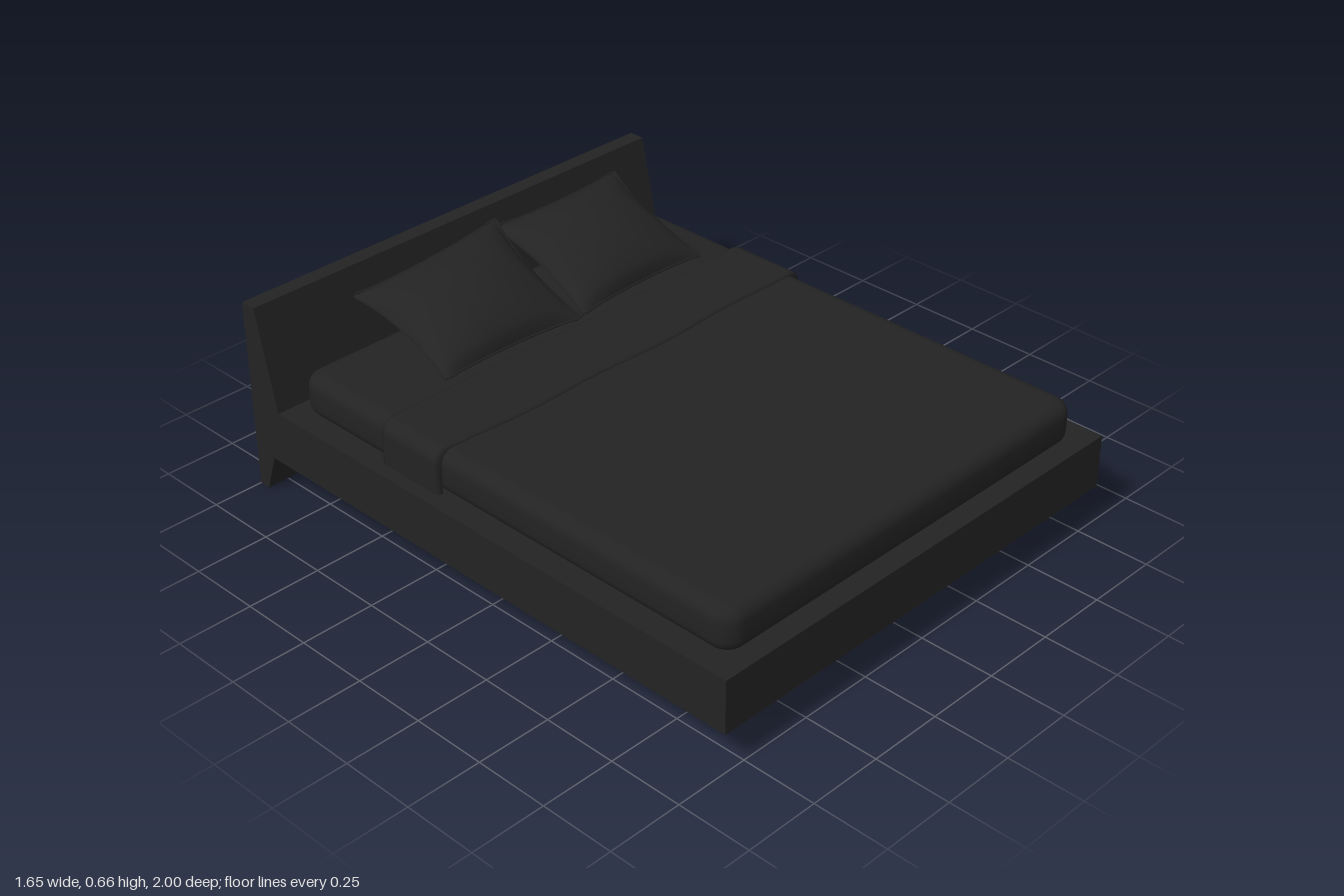
import * as THREE from 'three';
import { toCreasedNormals } from 'three/addons/utils/BufferGeometryUtils.js';

const charcoal = new THREE.MeshStandardMaterial({ color: 0x232323 });
charcoal.name = 'charcoal';
const charcoalCloth = new THREE.MeshStandardMaterial({ color: 0x232323, side: THREE.DoubleSide });
charcoalCloth.name = 'charcoal cloth';
const brown = new THREE.MeshStandardMaterial({ color: 0x583c21 });
brown.name = 'brown';

function add(parent, name, geometry, material) {
  const mesh = new THREE.Mesh(geometry, material);
  mesh.name = name;
  parent.add(mesh);
  return mesh;
}

// Rectangle with rounded corners, in plan
function roundedRect(w, d, r) {
  const s = new THREE.Shape(), x = w / 2, y = d / 2;
  s.absarc(x - r, y - r, r, 0, Math.PI / 2);
  s.absarc(-x + r, y - r, r, Math.PI / 2, Math.PI);
  s.absarc(-x + r, -y + r, r, Math.PI, Math.PI * 1.5);
  s.absarc(x - r, -y + r, r, Math.PI * 1.5, Math.PI * 2);
  s.closePath();
  return s;
}

// Horizontal slab with rounded corners and soft top and bottom edges
function slab(x0, x1, y0, y1, z0, z1, r, b) {
  const g = new THREE.ExtrudeGeometry(roundedRect(x1 - x0, z1 - z0, r), {
    depth: y1 - y0 - 2 * b, bevelThickness: b, bevelSize: b, bevelOffset: -b,
    bevelSegments: 6, curveSegments: 8,
  });
  g.rotateX(-Math.PI / 2);
  g.translate((x0 + x1) / 2, y0 + b, (z0 + z1) / 2);
  return toCreasedNormals(g, 0.7);
}

// Grid surface from a function of u and v in 0..1
function surface(nu, nv, f) {
  const pos = [], idx = [];
  for (let j = 0; j <= nv; j++)
    for (let i = 0; i <= nu; i++) pos.push(...f(i / nu, j / nv));
  for (let j = 0; j < nv; j++)
    for (let i = 0; i < nu; i++) {
      const a = j * (nu + 1) + i, b = a + nu + 1;
      idx.push(a, a + 1, b, a + 1, b + 1, b);
    }
  const g = new THREE.BufferGeometry();
  g.setAttribute('position', new THREE.Float32BufferAttribute(pos, 3));
  g.setIndex(idx);
  g.computeVertexNormals();
  return g;
}

// Pillow stretched between its four corners: low left, low right, high left, high right
function pillow(name, corners, thickness) {
  const group = new THREE.Group();
  group.name = name;
  const [a, b, c, d] = corners.map((p) => new THREE.Vector3(...p));
  const up = b.clone().sub(a).cross(c.clone().sub(a)).normalize();
  const point = (u, v, side) => {
    const s = u * 2 - 1, t = v * 2 - 1;
    // edges draw inwards between the corners
    const uu = 0.5 + s * (0.5 - 0.05 * (1 - t * t));
    const vv = 0.5 + t * (0.5 - 0.03 * (1 - s * s));
    const p = a.clone().lerp(b, uu).lerp(c.clone().lerp(d, uu), vv);
    const puff = Math.pow((1 - s * s) * (1 - t * t), 0.55);
    const crease = 1 + 0.04 * Math.sin(s * 9 + t * 4) * Math.abs(s);
    return p.addScaledVector(up, side * thickness * puff * crease).toArray();
  };
  add(group, 'pillowTop', surface(28, 22, (u, v) => point(u, v, 1)), charcoalCloth);
  add(group, 'pillowUnderside', surface(28, 22, (u, v) => point(u, v, -0.8)), charcoalCloth);
  // piped seam
  const rim = [];
  for (let k = 0; k < 40; k++) {
    const e = Math.floor(k / 10), q = (k % 10) / 10;
    const [u, v] = [[q, 0], [1, q], [1 - q, 1], [0, 1 - q]][e];
    rim.push(new THREE.Vector3(...point(u, v, 0)));
  }
  add(group, 'pillowSeam', new THREE.TubeGeometry(new THREE.CatmullRomCurve3(rim, true), 80, 0.004, 6, true), charcoal);
  return group;
}

export function createModel() {
  const bed = new THREE.Group();
  bed.name = 'bed';

  // Platform and sloping headboard, one profile swept across the width
  const profile = [[1, 0.13], [1, 0.31], [-0.87, 0.31], [-0.945, 0.65], [-1, 0.65], [-1, 0], [-0.96, 0], [-0.915, 0.13]];
  const frame = new THREE.ExtrudeGeometry(
    new THREE.Shape(profile.map(([z, y]) => new THREE.Vector2(-z, y))),
    { depth: 1.65, bevelEnabled: false });
  frame.rotateY(Math.PI / 2);
  frame.translate(-0.825, 0, 0);
  add(bed, 'frameAndHeadboard', frame, charcoal);

  // Brown base with two piped bands
  add(bed, 'base', slab(-0.695, 0.69, 0.002, 0.135, -0.8, 0.835, 0.05, 0.006), brown);
  [[0.004, 0.018], [0.026, 0.04]].forEach(([y0, y1], i) =>
    add(bed, 'basePiping' + (i + 1), slab(-0.707, 0.702, y0, y1, -0.812, 0.846, 0.055, 0.005), brown));

  // Small dark patch on the left side of the base
  const patch = new THREE.ShapeGeometry(new THREE.Shape([
    new THREE.Vector2(-0.7, 0.05), new THREE.Vector2(-0.59, 0.05), new THREE.Vector2(-0.62, 0.085),
    new THREE.Vector2(-0.64, 0.12), new THREE.Vector2(-0.66, 0.11)]));
  patch.rotateY(Math.PI / 2);
  patch.translate(0.694, 0, 0);
  add(bed, 'basePatch', patch, charcoal);

  // Mattress with its cover
  add(bed, 'mattress', slab(-0.762, 0.752, 0.305, 0.45, -0.832, 0.948, 0.065, 0.045), charcoal);

  // Folded blanket wrapped over the mattress, with a wavy front hem
  const r = 0.045, lift = [0, 0.9, 1, 1, 1, 1, 0.9, 0], along = [0, 0.01, 0.06, 0.3, 0.6, 0.94, 0.99, 1];
  const path = [[-1, 0, 0]];
  for (let k = 0; k <= 6; k++) path.push([-1, 1, (k / 6) * Math.PI / 2]);
  for (let k = 1; k < 24; k++) path.push([-1 + k / 12, 2, 0]);
  for (let k = 6; k >= 0; k--) path.push([1, 1, (k / 6) * Math.PI / 2]);
  path.push([1, 0, 0]);
  const fold = surface(path.length - 1, along.length - 1, (u, v) => {
    const [s, kind, ang] = path[Math.round(u * (path.length - 1))];
    const i = Math.round(v * (along.length - 1));
    const half = 0.757 + 0.018 * lift[i], top = 0.449 + 0.01 * lift[i];
    let x = s * half, y = 0.308;
    if (kind === 1) {
      x = s * (half - r + r * Math.cos(ang));
      y = top - r + r * Math.sin(ang);
    } else if (kind === 2) {
      x = s * (half - r);
      y = top;
    }
    const length = 0.265 - 0.012 * s * s + 0.005 * Math.sin(x * 11);
    return [x - 0.005, y, -0.43 + along[i] * length];
  });
  add(bed, 'foldedBlanket', fold, charcoalCloth);

  // Pillows leaning back towards the headboard
  bed.add(pillow('rightPillow', [[-0.5, 0.465, -0.46], [0.05, 0.465, -0.44], [-0.53, 0.615, -0.84], [0.065, 0.655, -0.85]], 0.08));
  bed.add(pillow('leftPillow', [[0.06, 0.465, -0.45], [0.61, 0.465, -0.46], [0.05, 0.635, -0.84], [0.595, 0.635, -0.85]], 0.075));
  return bed;
}
